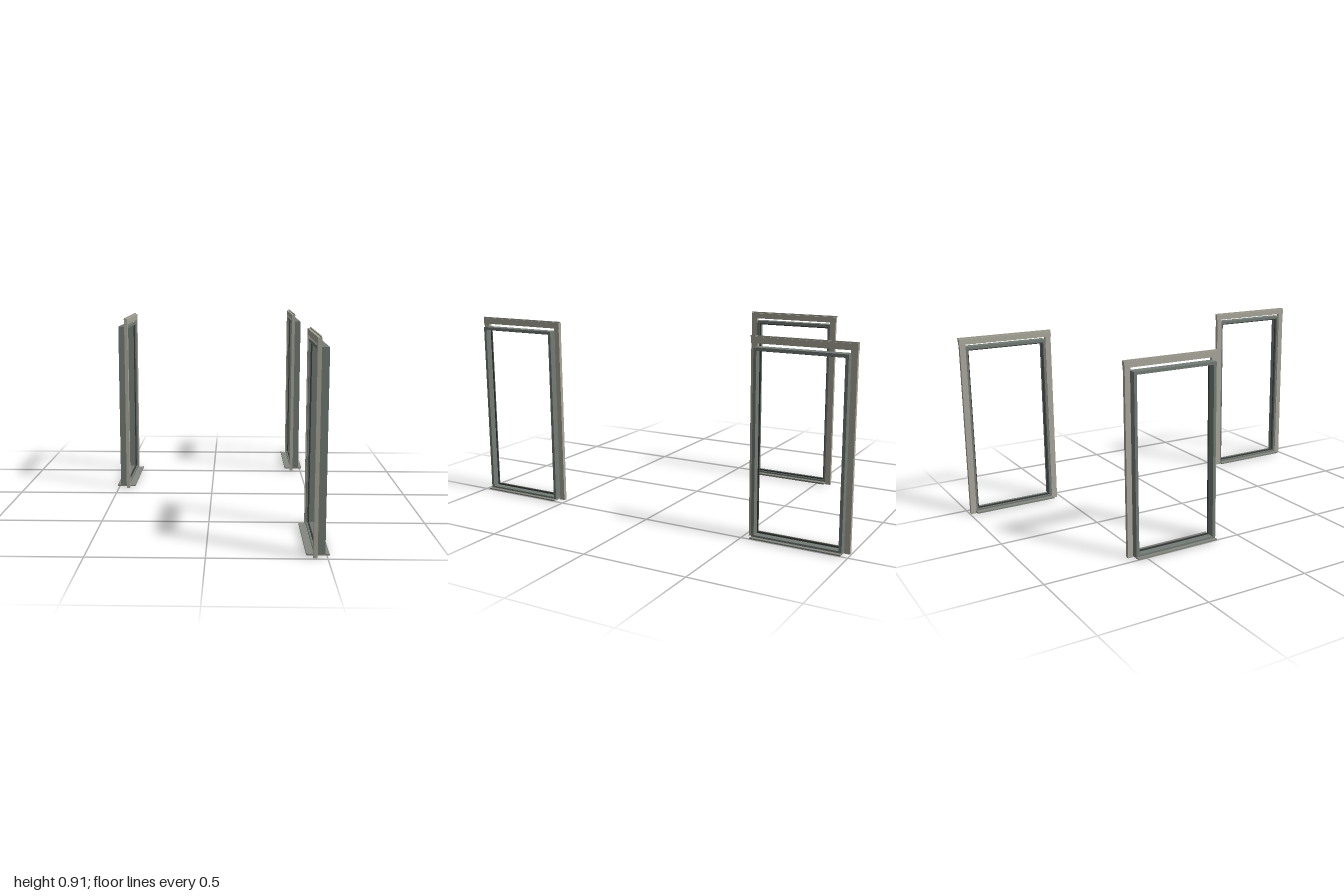
import * as THREE from 'three';

const casingMat = new THREE.MeshStandardMaterial({ color: 0xaaa89b });
const jambMat = new THREE.MeshStandardMaterial({ color: 0x737b76 });
const sealMat = new THREE.MeshStandardMaterial({ color: 0x3a3d3b });
const sillMat = new THREE.MeshStandardMaterial({ color: 0x858880 });

// Box given by its extents along x, y and z
function box(name, mat, [x0, x1], [y0, y1], [z0, z1]) {
  const mesh = new THREE.Mesh(new THREE.BoxGeometry(x1 - x0, y1 - y0, z1 - z0), mat);
  mesh.position.set((x0 + x1) / 2, (y0 + y1) / 2, (z0 + z1) / 2);
  mesh.name = name;
  return mesh;
}

function rect(path, w, y0, y1) {
  path.moveTo(-w, y0);
  path.lineTo(w, y0);
  path.lineTo(w, y1);
  path.lineTo(-w, y1);
  path.closePath();
  return path;
}

// Rectangular ring in the zy plane, extruded along x; outer/inner = [half width, bottom, top]
function ring(name, mat, [x0, x1], outer, inner) {
  const shape = rect(new THREE.Shape(), ...outer);
  shape.holes.push(rect(new THREE.Path(), ...inner));
  const geo = new THREE.ExtrudeGeometry(shape, { depth: x1 - x0, bevelEnabled: false });
  geo.rotateY(Math.PI / 2);
  const mesh = new THREE.Mesh(geo, mat);
  mesh.position.x = x0;
  mesh.name = name;
  return mesh;
}

// One door frame: casing around x = 0, jamb lining projecting towards +x
function doorFrame(name) {
  const frame = new THREE.Group();
  frame.name = name;

  // Side casings
  for (const s of [-1, 1]) {
    const z = s < 0 ? [-0.238, -0.209] : [0.209, 0.238];
    frame.add(box('sideCasing', casingMat, [-0.009, 0.008], [0, 0.875], z));
  }

  // Head casing with a thin ridge on top
  frame.add(box('headCasing', casingMat, [-0.009, 0.009], [0.875, 0.903], [-0.24, 0.24]));
  frame.add(box('headRidge', casingMat, [0.001, 0.006], [0.903, 0.909], [-0.243, 0.243]));

  // Deep jamb lining and the narrow seal inside it
  frame.add(ring('jamb', jambMat, [-0.005, 0.042], [0.212, 0.011, 0.862], [0.198, 0.02, 0.848]));
  frame.add(ring('doorSeal', sealMat, [0.003, 0.009], [0.199, 0.019, 0.849], [0.192, 0.027, 0.842]));

  // Threshold plate with a small lip on the casing side
  frame.add(box('threshold', sillMat, [-0.035, 0.06], [0.005, 0.011], [-0.212, 0.212]));
  frame.add(box('thresholdLip', sillMat, [-0.037, -0.032], [0.006, 0.014], [-0.212, 0.212]));
  return frame;
}

export function createModel() {
  const model = new THREE.Group();
  model.name = 'doorFrames';
  // Two frames on the left, one on the right facing the other way
  const places = [
    ['frontLeftFrame', 0.45, 0.757, 0],
    ['backLeftFrame', 0.45, -0.757, 0],
    ['rightFrame', -0.45, -0.336, Math.PI],
  ];
  for (const [name, x, z, turn] of places) {
    const frame = doorFrame(name);
    frame.position.set(x, 0, z);
    frame.rotation.y = turn;
    model.add(frame);
  }
  return model;
}
